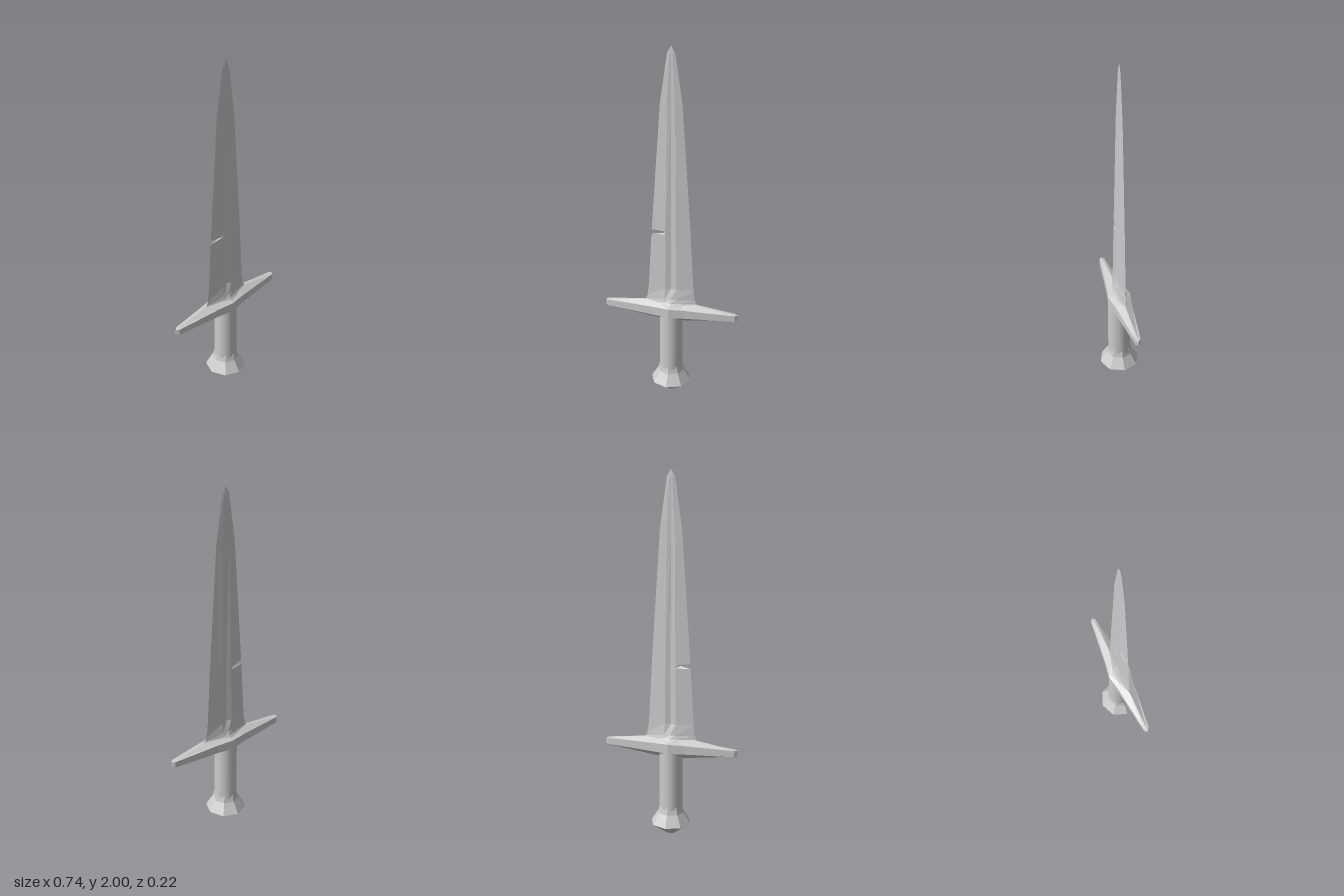
import * as THREE from 'three';

const flat = new THREE.MeshStandardMaterial({ color: 0xcccccc, flatShading: true });
const smooth = new THREE.MeshStandardMaterial({ color: 0xcccccc });

// Skins a list of equal-length rings of [x, y, z] points and closes both ends.
function loft(rings) {
  const n = rings[0].length, index = [];
  for (let i = 0; i < rings.length - 1; i++) {
    for (let j = 0; j < n; j++) {
      const a = i * n + j, b = i * n + (j + 1) % n;
      index.push(a, b, b + n, a, b + n, a + n);
    }
  }
  const last = (rings.length - 1) * n;
  for (let j = 1; j < n - 1; j++) {
    index.push(0, j + 1, j, last, last + j, last + j + 1);
  }
  const geometry = new THREE.BufferGeometry();
  geometry.setAttribute('position', new THREE.Float32BufferAttribute(rings.flat(2), 3));
  geometry.setIndex(index);
  geometry.computeVertexNormals();
  return geometry;
}

export function createModel() {
  const group = new THREE.Group();
  group.name = 'dagger';
  const add = (name, geometry, material) => {
    const mesh = new THREE.Mesh(geometry, material);
    mesh.name = name;
    group.add(mesh);
  };

  // Blade: [height, left edge, right edge, ridge half-width, ridge depth, groove depth]
  const bladeRow = ([y, l, r, w, t, g]) => [
    [0, y, g], [w, y, t], [r, y, 0], [w, y, -t],
    [0, y, -g], [-w, y, -t], [-l, y, 0], [-w, y, t],
  ];
  add('blade', loft([
    [0.53, 0.18, 0.18, 0.04, 0.045, 0.06],
    [0.56, 0.142, 0.142, 0.035, 0.026, 0.034],
    [0.58, 0.133, 0.133, 0.032, 0.021, 0.024],
    [0.64, 0.126, 0.124, 0.03, 0.014, 0.006],
    [0.952, 0.109, 0.107, 0.028, 0.012, 0.005],
    [0.965, 0.053, 0.107, 0.028, 0.012, 0.005], // notch in the edge
    [0.98, 0.107, 0.106, 0.028, 0.012, 0.005],
    [1.69, 0.06, 0.06, 0.022, 0.006, 0.003],
    [1.96, 0.022, 0.022, 0.008, 0.003, 0.002],
    [2, 0, 0, 0, 0, 0],
  ].map(bladeRow)), flat);

  // Crossguard: [x, top ridge, upper edge, lower edge, bottom ridge, half depth]
  const half = [
    [0, 0.568, 0.54, 0.488, 0.445, 0.063],
    [0.09, 0.564, 0.536, 0.488, 0.453, 0.046],
    [0.355, 0.527, 0.525, 0.491, 0.489, 0.014],
    [0.37, 0.525, 0.523, 0.493, 0.492, 0.001],
  ];
  const mirrored = half.slice(1).reverse().map(([x, ...rest]) => [-x, ...rest]);
  add('crossguard', loft([...mirrored, ...half].map(([x, top, up, low, bottom, z]) => [
    [x, top, 0], [x, up, z], [x, low, z], [x, bottom, 0], [x, low, -z], [x, up, -z],
  ])), flat);

  // Round grip
  const grip = new THREE.CylinderGeometry(0.062, 0.062, 0.36, 24);
  grip.translate(0, 0.33, 0);
  add('grip', grip, smooth);

  // Eight-sided flared pommel
  const profile = [[0, 0.004], [0.03, 0.019], [0.11, 0.075], [0.072, 0.137], [0.063, 0.175], [0, 0.175]]
    .map(([r, y]) => new THREE.Vector2(r, y));
  add('pommel', new THREE.LatheGeometry(profile, 8), flat);

  return group;
}
